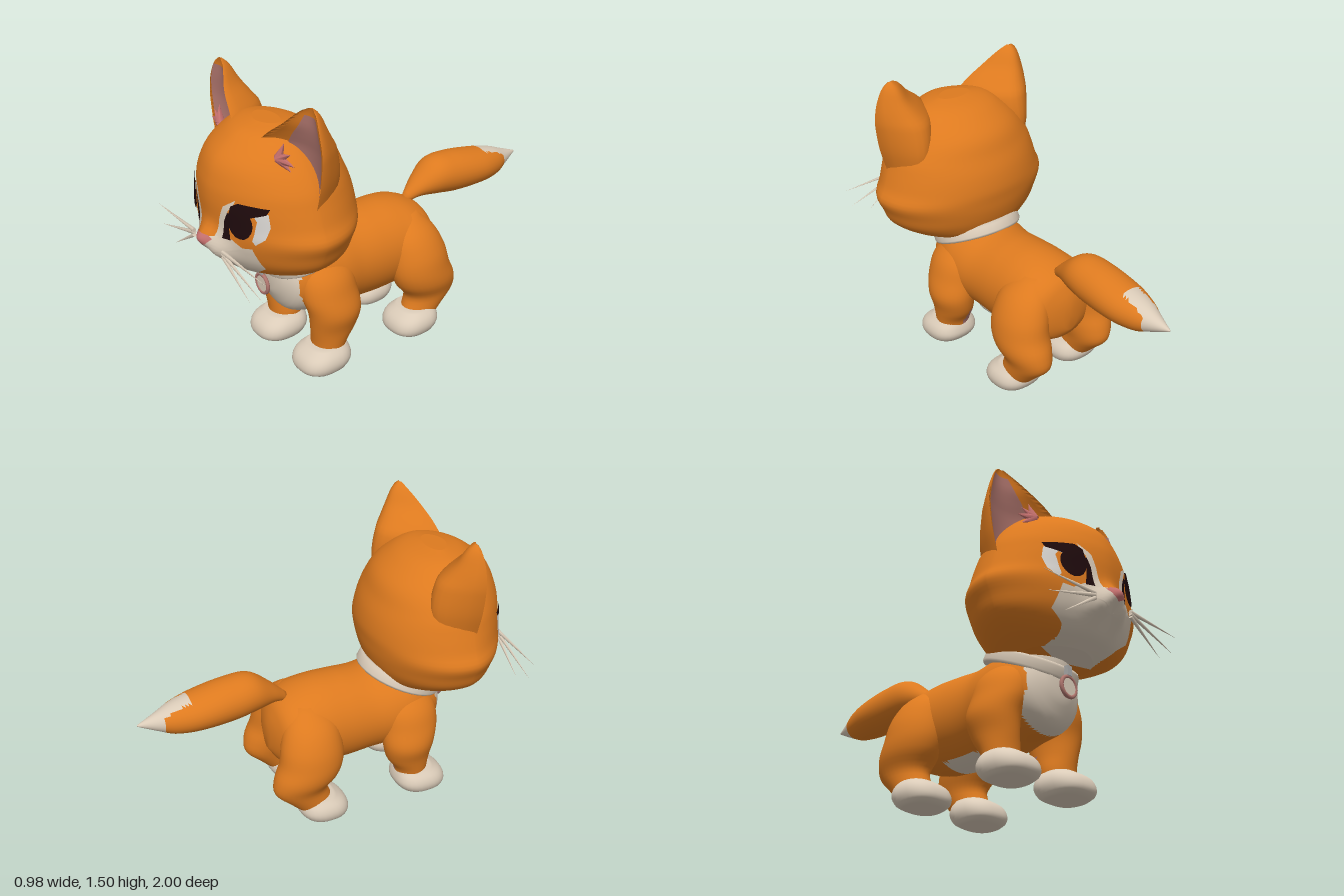
import * as THREE from 'three';

const mat = (name, color) => Object.assign(new THREE.MeshStandardMaterial({ color }), { name });
const orange = mat('orange fur', 0xdd7a1f), cream = mat('cream fur', 0xdacbb8), pink = mat('pink nose', 0xc4706e);
const earPink = mat('dusky pink skin', 0xb0766e), dark = mat('dark eye', 0x1e0a0c), white = mat('eye white', 0xd4d1cd);
const grey = mat('metal', 0xa9a9a8);

// Smooth interpolation of table rows keyed by their first column
function at(rows, s) {
  let i = 0;
  while (i < rows.length - 2 && s > rows[i + 1][0]) i++;
  const a = rows[i], b = rows[i + 1], p = rows[Math.max(i - 1, 0)], c = rows[Math.min(i + 2, rows.length - 1)];
  const h = b[0] - a[0], t = (s - a[0]) / h;
  return a.map((v, k) => {
    const m0 = (b[k] - p[k]) / (b[0] - p[0]) * h, m1 = (c[k] - v) / (c[0] - a[0]) * h;
    return v + t * m0 + t * t * (3 * (b[k] - v) - 2 * m0 - m1) + t * t * t * (2 * (v - b[k]) + m0 + m1);
  });
}

// Mesh through rows of points; paint(x, y, z) picks a material per face
function skin(name, rows, mats, { closed = true, flip = false, paint = () => 0 } = {}) {
  const n = rows[0].length, pos = rows.flat(), buckets = mats.map(() => []);
  const tri = (a, b, c) => {
    const mid = [0, 1, 2].map(k => (pos[a][k] + pos[b][k] + pos[c][k]) / 3);
    buckets[paint(...mid)].push(...(flip ? [a, c, b] : [a, b, c]));
  };
  for (let i = 0; i < rows.length - 1; i++) for (let j = 0; j < (closed ? n : n - 1); j++) {
    const a = i * n + j, b = i * n + (j + 1) % n;
    tri(a, a + n, b);
    tri(b, a + n, b + n);
  }
  const g = new THREE.BufferGeometry();
  g.setAttribute('position', new THREE.Float32BufferAttribute(pos.flat(), 3));
  g.setIndex(buckets.flat());
  let start = 0;
  buckets.forEach((b, k) => { g.addGroup(start, b.length, k); start += b.length; });
  g.computeVertexNormals();
  const mesh = new THREE.Mesh(g, mats.length > 1 ? mats : mats[0]);
  mesh.name = name;
  return mesh;
}

// Rounded loft; rows are [position, centreX, centre2, radiusX, radius2]; power below 1 squares the section
function loft(name, rows, mats, { axis = 'y', steps = 28, segs = 32, power = 1, paint } = {}) {
  const out = [], s0 = rows[0][0], s1 = rows[rows.length - 1][0];
  const round = v => Math.sign(v) * Math.pow(Math.abs(v), power);
  for (let i = -1; i <= steps + 1; i++) {
    const s = s0 + (s1 - s0) * Math.min(Math.max(i / steps, 0), 1), r = at(rows, s);
    const k = i < 0 || i > steps ? 0 : 1;
    out.push(Array.from({ length: segs }, (_, j) => {
      const t = j / segs * Math.PI * 2, x = r[1] + k * r[3] * round(Math.cos(t)), q = k * r[4] * round(Math.sin(t));
      return axis === 'y' ? [x, s, r[2] + q] : [x, r[2] - q, s];
    }));
  }
  return skin(name, out, mats, { paint });
}

// Head: [y, half width, back z, front z]
const HEAD = [[.61, .2, .38, .76], [.65, .32, .3, .84], [.72, .42, .26, .89], [.8, .46, .235, .92], [.87, .488, .225, .927],
  [.93, .46, .22, .932], [1.02, .43, .235, .935], [1.1, .4, .265, .925], [1.2, .33, .31, .885], [1.28, .245, .4, .8],
  [1.315, .18, .47, .74], [1.335, .09, .55, .66]];
const gauss = (a, b) => Math.exp(-a * a - b * b);
function faceZ(x, y) {
  const [, w, , zf] = at(HEAD, y);
  const muzzle = .047 * (gauss((x - .07) / .065, (y - .765) / .065) + gauss((x + .07) / .065, (y - .765) / .065))
    + .056 * gauss(x / .06, (y - .83) / .05);
  return .6 + (zf - .6) * Math.pow(Math.max(0, 1 - Math.pow(Math.abs(x / w), 1.7)), 1 / 1.7) + muzzle;
}
function head() {
  const rows = [], N = 56, S = 96;
  for (let i = -1; i <= N + 1; i++) {
    const y = .61 + .725 * (1 - Math.cos(Math.PI * Math.min(Math.max(i / N, 0), 1))) / 2;
    const [, w, zb] = at(HEAD, y), k = i < 0 || i > N ? 0 : 1;
    rows.push(Array.from({ length: S }, (_, j) => {
      const t = j / S * Math.PI * 2, x = w * Math.cos(t), s = Math.sin(t);
      return k ? [x, y, s > 0 ? faceZ(x, y) : .6 + (.6 - zb) * s] : [0, y, .6];
    }));
  }
  return skin('head', rows, [orange, cream], { paint: (x, y, z) => (y < .64 && z > .64 && Math.abs(x) < .17 ? 1 : 0) });
}

// Thin marking laid on the face between two outlines of equal length
function marking(name, A, B, material, lift, side = 1) {
  const fine = pts => pts.flatMap(([x, y], i) => {
    if (i === pts.length - 1) return [[x * side, y]];
    const [u, v] = pts[i + 1];
    return [0, .25, .5, .75].map(t => [(x + (u - x) * t) * side, y + (v - y) * t]);
  });
  const a = fine(A), b = fine(B), loop = [...a, ...b.slice().reverse()];
  const area = loop.reduce((s, [x, y], i) => {
    const [u, v] = loop[(i + 1) % loop.length];
    return s + x * v - u * y;
  }, 0);
  const rows = Array.from({ length: 11 }, (_, k) => a.map(([x, y], j) => {
    const px = x + (b[j][0] - x) * k / 10, py = y + (b[j][1] - y) * k / 10;
    return [px, py, faceZ(px, py) + lift];
  }));
  return skin(name, rows, [material], { closed: false, flip: area > 0 });
}
const blob = (name, A, c, material, lift, side) => marking(name, [...A, A[0]], [...A, A[0]].map(() => c), material, lift, side);
const mirrored = half => [...half, ...half.slice(1, -1).reverse().map(([x, y]) => [-x, y])];

// Ear: [y, inner x, outer x, inner rim z, outer rim z, depth]
const EAR = [[1.03, .2, .425, .66, .62, .2], [1.15, .14, .458, .69, .62, .23], [1.28, .115, .475, .712, .62, .215],
  [1.34, .165, .472, .7, .62, .17], [1.4, .24, .458, .675, .62, .12], [1.46, .3, .435, .64, .615, .07],
  [1.49, .335, .415, .62, .61, .035], [1.505, .365, .393, .612, .608, .012]];
function ear(side) {
  const g = new THREE.Group(), shell = [], inner = [], M = 12;
  g.name = side > 0 ? 'leftEar' : 'rightEar';
  const point = (r, u, k, lift = 0) => [side * (r[1] + (r[2] - r[1]) * u), r[0],
    r[3] + (r[4] - r[3]) * u - k * r[5] * Math.pow(Math.sin(Math.PI * u), .8) + lift];
  for (let i = 0; i <= 24; i++) {
    const r = at(EAR, 1.03 + .475 * i / 24), row = [];
    for (let j = 0; j < M; j++) row.push(point(r, j / M, 1));
    for (let j = M; j > 0; j--) row.push(point(r, j / M, .4));
    shell.push(row);
    if (i < 23) inner.push(Array.from({ length: M + 1 }, (_, j) => point(r, .96 - .68 * j / M, .4, .008)));
  }
  const tip = at(EAR, 1.505);
  shell.push(shell[24].map(() => point(tip, .5, .7)));
  g.add(skin('earShell', shell, [orange], { flip: side < 0 }));
  g.add(skin('innerEar', inner, [earPink], { closed: false, flip: side < 0 }));
  // Fur tufts fanning across the ear opening
  [[.275, 1.325], [.325, 1.285], [.355, 1.235], [.325, 1.2]].forEach(([x, y]) =>
    g.add(spike('earTuft', [side * .25, 1.245, .7], [side * x, y, .685], .025, pink)));
  return g;
}

function spike(name, from, to, radius, material) {
  const a = new THREE.Vector3(...from), d = new THREE.Vector3(...to).sub(a);
  const m = new THREE.Mesh(new THREE.ConeGeometry(radius, d.length(), 6), material);
  m.position.copy(a).addScaledVector(d, .5);
  m.quaternion.setFromUnitVectors(new THREE.Vector3(0, 1, 0), d.normalize());
  m.name = name;
  return m;
}

export function createModel() {
  const cat = new THREE.Group();
  cat.name = 'kitten';

  // Torso with cream chest and belly
  cat.add(loft('body', [[-.33, 0, .43, .05, .08], [-.29, 0, .45, .18, .16], [-.2, 0, .46, .24, .21], [-.08, 0, .465, .235, .235],
    [.06, 0, .46, .23, .24], [.2, 0, .46, .23, .23], [.32, 0, .47, .245, .23], [.42, 0, .485, .24, .225], [.52, 0, .475, .21, .2],
    [.58, 0, .475, .165, .16], [.625, 0, .5, .07, .08]], [orange, cream],
  { axis: 'z', steps: 64, segs: 64, paint: (x, y, z) => ((z > .5 && Math.abs(x) < .18) || (y < .25 && z > -.06 && z < .3) ? 1 : 0) }));

  // Tail with cream tip
  cat.add(loft('tail', [[-1, 0, .7, .004, .004], [-.9, 0, .695, .05, .048], [-.82, 0, .695, .088, .08], [-.7, 0, .705, .118, .098],
    [-.52, 0, .722, .12, .11], [-.4, 0, .728, .105, .098], [-.3, 0, .695, .062, .055], [-.22, 0, .645, .02, .025]], [orange, cream],
  { axis: 'z', steps: 50, paint: (x, y, z) => (z < -.87 || (z < -.73 && y > .7 && Math.abs(x) < .05) ? 1 : 0) }));

  for (const s of [1, -1]) {
    // Legs and paws
    cat.add(loft('frontLeg', [[.07, s * .195, .415, .085, .085], [.14, s * .195, .41, .095, .09], [.22, s * .205, .39, .1, .12],
      [.32, s * .215, .385, .115, .14], [.42, s * .19, .4, .115, .15], [.52, s * .16, .4, .105, .14], [.62, s * .12, .4, .05, .08]],
    [orange, earPink], { paint: (x, y, z) => (y < .23 && z < .36 && x * s < .19 ? 1 : 0) }));
    cat.add(loft('hindLeg', [[.07, s * .2, -.15, .085, .1], [.13, s * .2, -.19, .09, .12], [.2, s * .2, -.23, .1, .145],
      [.28, s * .205, -.2, .125, .172], [.36, s * .2, -.17, .132, .17], [.46, s * .18, -.16, .13, .16], [.56, s * .14, -.15, .11, .13],
      [.64, s * .1, -.15, .05, .06]], [orange]));
    for (const [name, z, k] of [['frontPaw', .455, .9], ['hindPaw', -.115, .86]])
      cat.add(loft(name, [[0, s * .195, z + .01, .1, .1 * k], [.02, s * .195, z + .01, .123, .14 * k], [.06, s * .195, z, .135, .156 * k],
        [.1, s * .195, z - .01, .123, .14 * k], [.135, s * .195, z - .03, .09, .1 * k]], [cream], { steps: 14, power: .8 }));

    cat.add(ear(s));

    // Eyes and the markings beside them
    const side = s > 0 ? 'left' : 'right';
    cat.add(marking(side + 'EyeStripe', [[.175, 1.062], [.11, 1.015], [.085, .95], [.065, .85]], [[.165, 1.035], [.138, 1], [.115, .94], [.11, .84]], cream, .004, s));
    cat.add(marking(side + 'EyeCorner', [[.135, .99], [.115, .945], [.1, .85]], [[.16, .99], [.138, .95], [.143, .85]], dark, .005, s));
    cat.add(marking(side + 'EyeWhite', [[.235, 1.015], [.27, 1.035], [.315, 1.02], [.328, .96], [.315, .9], [.272, .862]],
      [[.24, .99], [.262, 1], [.275, .98], [.27, .95], [.265, .91], [.258, .88]], white, .006, s));
    cat.add(marking(side + 'Lash', [[.155, 1.03], [.19, 1.052], [.25, 1.05], [.318, 1.045]], [[.143, .975], [.19, .985], [.25, .995], [.308, 1.018]], dark, .008, s));
    const pupil = Array.from({ length: 16 }, (_, i) => [.2 + .06 * Math.cos(i * Math.PI / 8), .95 + .075 * Math.sin(i * Math.PI / 8)]);
    cat.add(blob(side + 'Pupil', pupil, [.2, .95], dark, .009, s));

    // Whiskers
    [[.795, .49, .787], [.785, .46, .685], [.77, .345, .627]].forEach(([y, x, ty]) =>
      cat.add(spike('whisker', [s * .13, y, .945], [s * x, ty, .942], .011, cream)));
  }

  // Head, muzzle patch and nose
  cat.add(head());
  cat.add(blob('muzzlePatch', mirrored([[0, .84], [.06, .85], [.1, .865], [.15, .855], [.2, .825], [.25, .835], [.26, .78], [.27, .72],
    [.2, .67], [.17, .63], [.1, .615], [0, .613]]), [0, .74], cream, .004));
  cat.add(blob('nose', mirrored([[0, .855], [.04, .852], [.062, .838], [.035, .805], [0, .788]]), [0, .83], pink, .007));

  // Neck and tilted collar
  const neck = new THREE.Group();
  neck.name = 'neck';
  neck.position.set(0, .625, .435);
  neck.rotation.x = .41;
  neck.add(loft('neckFur', [[-.12, 0, 0, .2, .17], [0, 0, 0, .2, .2], [.1, 0, 0, .17, .17]], [orange, cream],
    { paint: (x, y, z) => (z > .09 ? 1 : 0) }));
  const band = [[.19, -.032], [.23, -.032], [.236, -.02], [.232, .02], [.225, .032], [.19, .032], [.19, -.032]].map(p => new THREE.Vector2(...p));
  const collar = new THREE.Mesh(new THREE.LatheGeometry(band, 32), cream);
  collar.name = 'collar';
  neck.add(collar);
  cat.add(neck);

  // Round tag hanging from the collar
  const add = (name, geo, m, y, z) => {
    const mesh = new THREE.Mesh(geo, m);
    mesh.name = name;
    mesh.position.set(0, y, z);
    cat.add(mesh);
  };
  add('tagClip', new THREE.BoxGeometry(.03, .05, .025), grey, .54, .662);
  add('tagRing', new THREE.TorusGeometry(.05, .01, 8, 24), earPink, .46, .663);
  add('tagDisc', new THREE.CylinderGeometry(.045, .045, .01, 24).rotateX(Math.PI / 2), cream, .46, .663);
  return cat;
}
